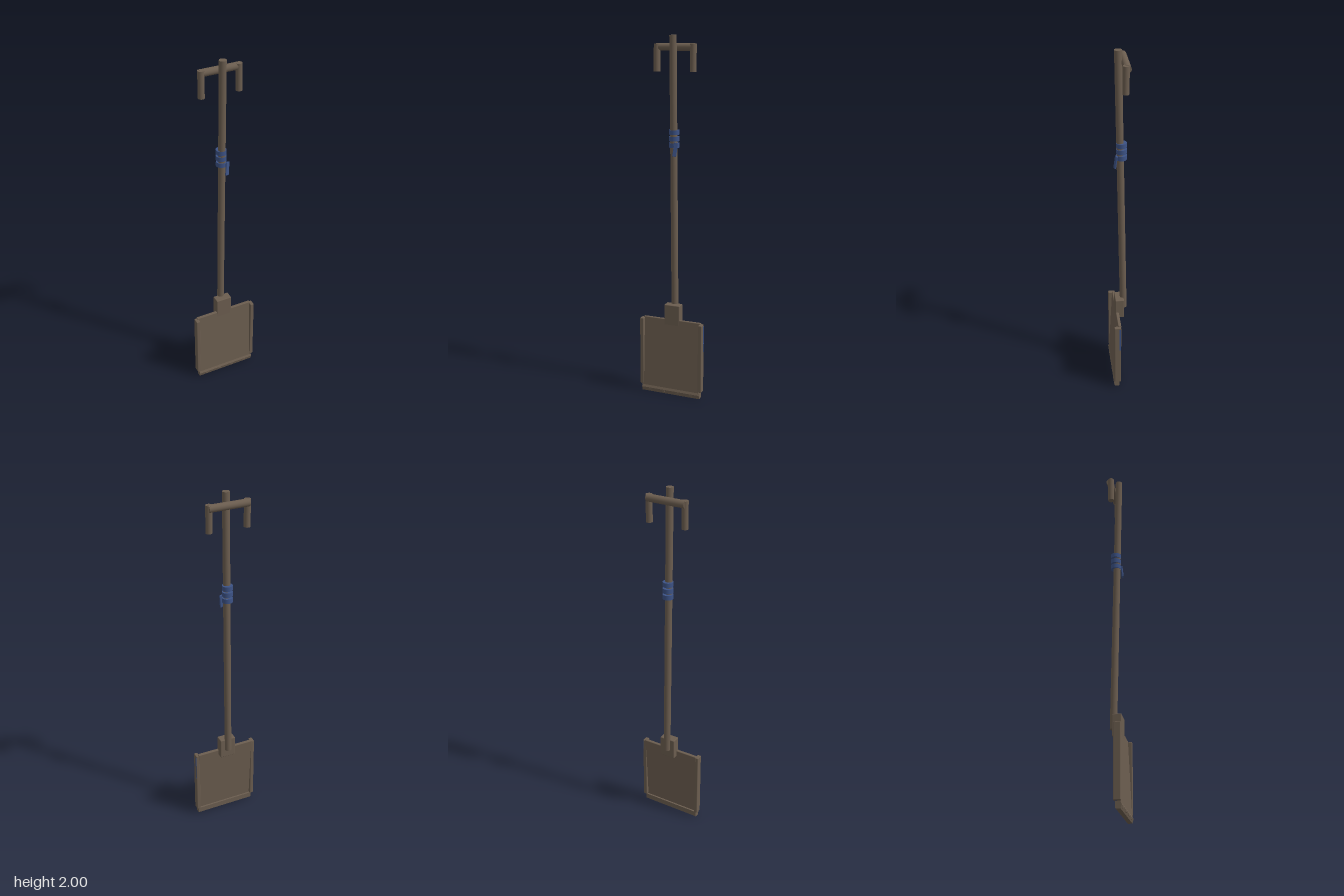
import * as THREE from 'three';
import { RoundedBoxGeometry } from 'three/addons/geometries/RoundedBoxGeometry.js';

export function createModel() {
  const model = new THREE.Group();
  const brown = new THREE.MeshStandardMaterial({ color: 0x6b5d4f });
  brown.name = 'weathered brown';
  const blue = new THREE.MeshStandardMaterial({ color: 0x3c5285 });
  blue.name = 'blue cloth';

  const add = (name, geometry, material, x = 0, y = 0, z = 0) => {
    const mesh = new THREE.Mesh(geometry, material);
    mesh.name = name;
    mesh.position.set(x, y, z);
    model.add(mesh);
    return mesh;
  };
  const box = (w, h, d, r = 0.004) => new RoundedBoxGeometry(w, h, d, 2, r);

  // Round bar running between two points
  const bar = (name, a, b, r, material = brown) => {
    const from = new THREE.Vector3(...a), to = new THREE.Vector3(...b);
    const dir = to.clone().sub(from);
    const mesh = add(name, new THREE.CylinderGeometry(r, r, dir.length(), 20), material);
    mesh.position.copy(from).add(to).multiplyScalar(0.5);
    mesh.quaternion.setFromUnitVectors(new THREE.Vector3(0, 1, 0), dir.normalize());
    return mesh;
  };

  // Slightly leaning shaft with crossbar and hanging grips
  bar('shaft', [0, 0.455, -0.025], [0, 2, 0.005], 0.0195);
  bar('crossbar', [-0.11, 1.938, -0.03], [0.11, 1.938, -0.03], 0.02);
  for (const s of [-1, 1]) {
    bar(s > 0 ? 'leftGrip' : 'rightGrip', [s * 0.104, 1.81, -0.022], [s * 0.104, 1.955, -0.024], 0.0175);
  }

  // Cloth wrap of three bands and a loose tail
  for (let i = 0; i < 3; i++) {
    const y = 1.42 + i * 0.035;
    bar('wrapBand', [0, y - 0.0125, -0.0137], [0, y + 0.0125, -0.0132], 0.0285, blue);
  }
  const tail = add('wrapTail', box(0.021, 0.075, 0.008, 0.002), blue, 0.019, 1.4, 0.02);
  tail.rotation.set(-0.08, 0.3, -0.12);

  // Socket joining the shaft to the blade
  add('socket', box(0.092, 0.12, 0.05), brown, 0, 0.465, 0);

  // Blade panel leaning back at the top between upright rails
  const panel = add('bladePanel', box(0.344, 0.43, 0.018), brown, 0, 0.226, 0.025);
  panel.rotation.x = -0.05;
  for (const s of [-1, 1]) {
    add(s > 0 ? 'leftRail' : 'rightRail', box(0.022, 0.396, 0.038), brown, s * 0.176, 0.237, 0.0265);
  }

  // Bottom lip with a chamfered front edge
  const lip = new THREE.Shape([
    [-0.016, 0.004], [-0.016, 0.036], [-0.043, 0.036], [-0.049, 0.022], [-0.043, 0], [-0.02, 0],
  ].map(([z, y]) => new THREE.Vector2(z, y)));
  const lipGeometry = new THREE.ExtrudeGeometry(lip, { depth: 0.35, bevelEnabled: false });
  lipGeometry.translate(0, 0, -0.175).rotateY(Math.PI / 2);
  add('bladeLip', lipGeometry, brown);

  // Small wear pads along the lip
  for (const x of [-0.125, -0.042, 0.042, 0.125]) {
    add('wearPad', new THREE.BoxGeometry(0.018, 0.012, 0.006), brown, x, 0.016, 0.0455);
  }

  // Remnant of paint on the left rail
  add('railPaint', new THREE.BoxGeometry(0.002, 0.15, 0.008), blue, 0.187, 0.35, 0.014);

  return model;
}
